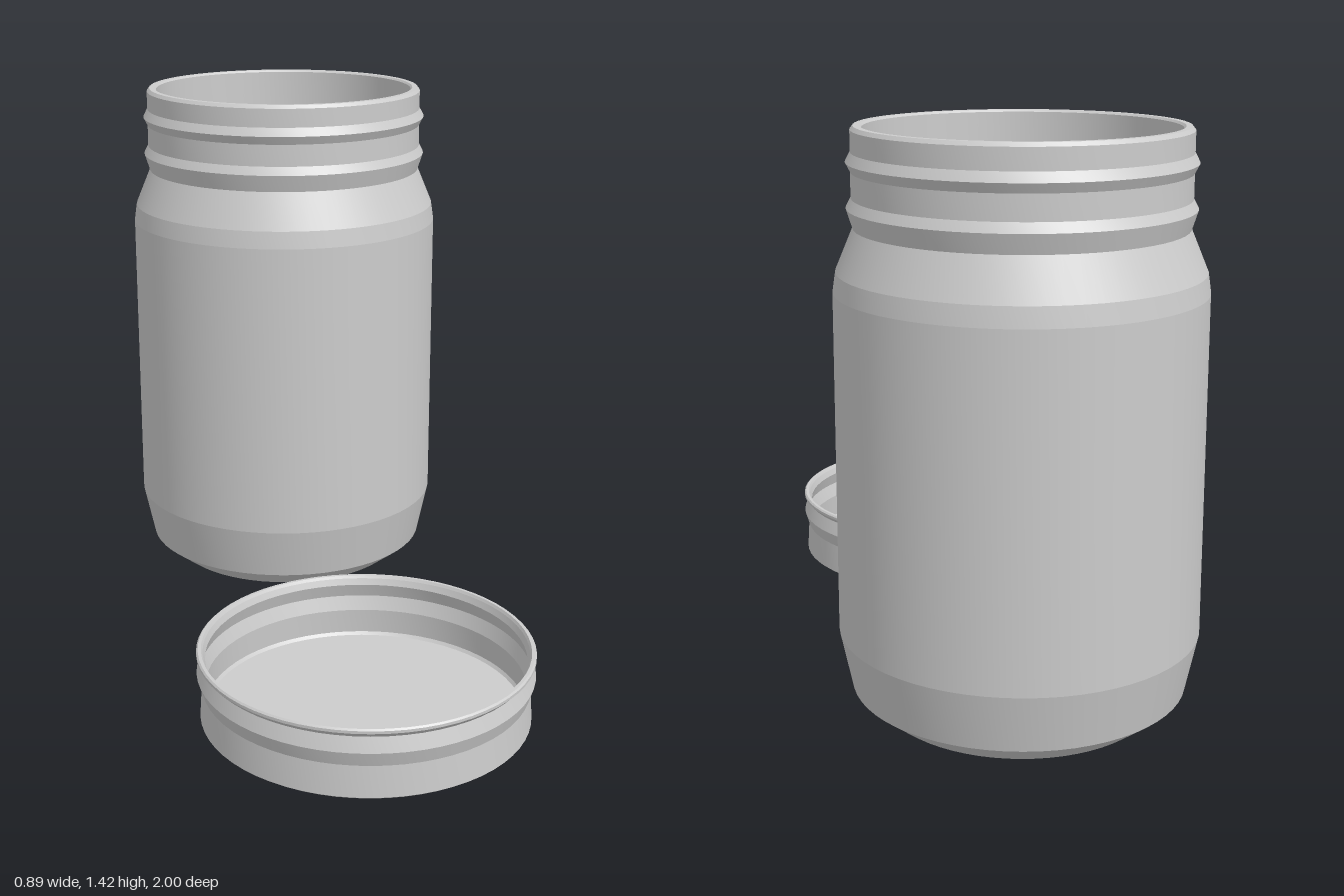
import * as THREE from 'three';
import { toCreasedNormals } from 'three/addons/utils/BufferGeometryUtils.js';

const metal = new THREE.MeshStandardMaterial({ color: 0xcccccc });
metal.name = 'light grey';

// Revolves a closed wall profile: [radius, height] points, up the outside then down the inside
function turned(name, profile, z) {
  const points = profile.map(([r, y]) => new THREE.Vector2(r, y));
  const geometry = toCreasedNormals(new THREE.LatheGeometry(points, 64), 0.12);
  const mesh = new THREE.Mesh(geometry, metal);
  mesh.name = name;
  mesh.position.z = z;
  return mesh;
}

export function createModel() {
  const model = new THREE.Group();
  model.name = 'jarAndLid';

  const jar = [
    // base, body and shoulder
    [0, 0], [0.34, 0], [0.412, 0.055], [0.443, 0.2], [0.443, 1.037], [0.436, 1.085], [0.394, 1.186],
    // threaded neck with two ridges
    [0.409, 1.233], [0.397, 1.256], [0.397, 1.316], [0.409, 1.339], [0.397, 1.362],
    // rim
    [0.397, 1.413], [0.39, 1.422], [0.375, 1.422], [0.37, 1.417],
    // inside wall and floor
    [0.37, 1.186], [0.411, 1.083], [0.418, 1.037], [0.418, 0.2], [0.388, 0.065], [0.33, 0.022], [0, 0.022],
  ];

  const lid = [
    // underside and outer wall with a bulging ridge
    [0, 0], [0.405, 0], [0.416, 0.008], [0.411, 0.088], [0.423, 0.126], [0.411, 0.163],
    // rolled rim
    [0.423, 0.176], [0.423, 0.183], [0.419, 0.187], [0.411, 0.187], [0.407, 0.18],
    // inside wall and floor
    [0.401, 0.163], [0.413, 0.126], [0.401, 0.088], [0.404, 0.022], [0.398, 0.014], [0, 0.014],
  ];

  model.add(turned('jar', jar, -0.557), turned('lid', lid, 0.577));
  return model;
}
